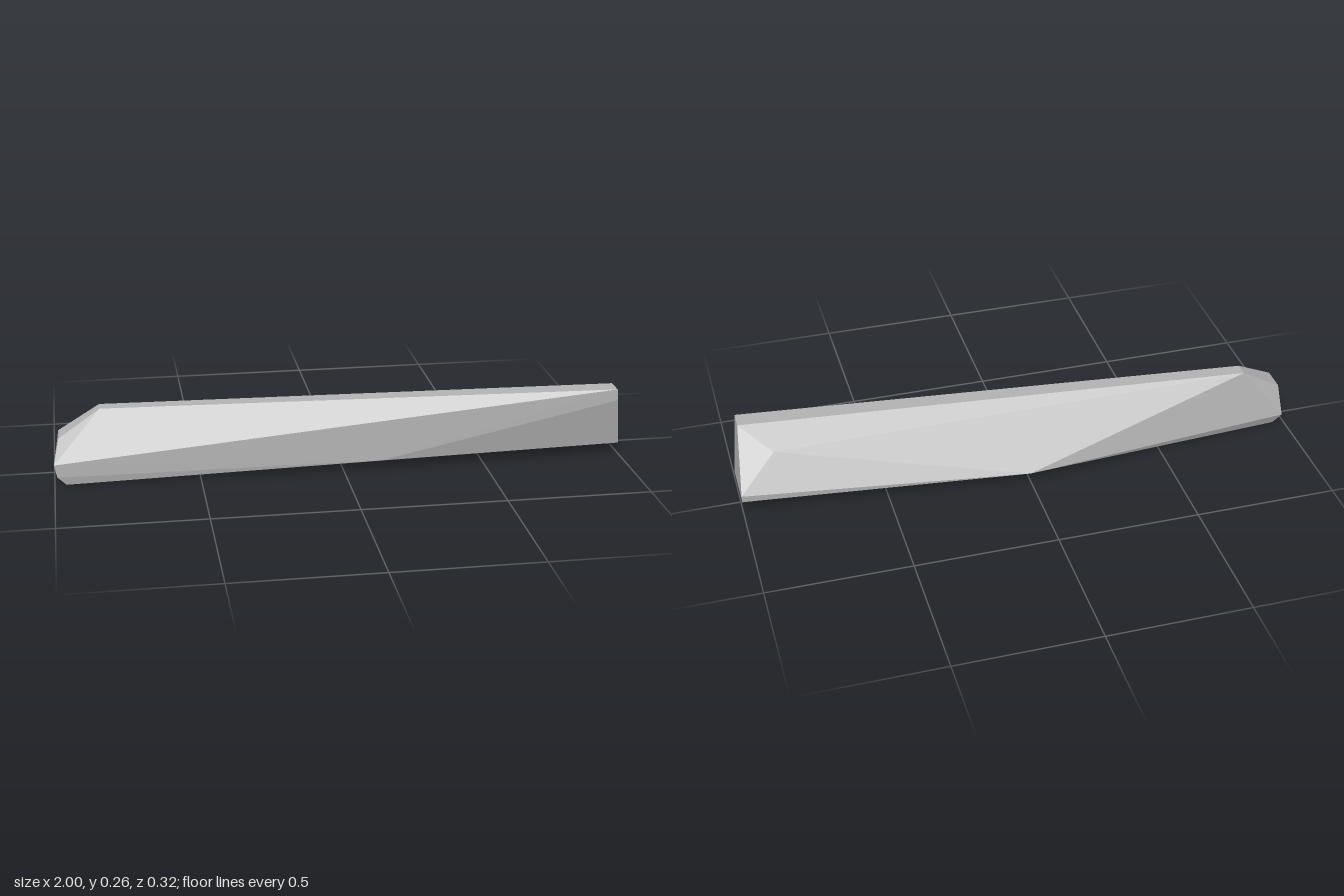
import * as THREE from 'three';
import { ConvexGeometry } from 'three/addons/geometries/ConvexGeometry.js';

export function createModel() {
  const group = new THREE.Group();
  group.name = 'stoneShard';

  const stone = new THREE.MeshStandardMaterial({ color: 0xb4b4b4 });
  stone.name = 'stone grey';

  // Corners of the faceted body, by region
  const blunt = [ // chamfered end, -x
    [-0.835, 0.23, -0.04], [-0.835, 0.23, 0.01],
    [-0.98, 0.145, -0.03], [-0.98, 0.145, 0.055],
    [-1, 0.075, 0.13], [-0.99, 0.03, 0.13], [-0.99, 0.035, -0.065],
    [-0.96, 0, 0.125], [-0.96, 0, -0.055],
  ];
  const middle = [ // back ridge, front ridge and belly
    [0, 0.035, -0.161], [0.13, 0.033, 0.15], [0.2, 0.008, -0.04],
  ];
  const cut = [ // slanted flat end, +x
    [0.975, 0.256, 0.095], [0.975, 0.255, 0.162], [0.979, 0.215, 0.162],
    [0.87, 0.185, 0.005],
    [1, 0.065, -0.057], [1, 0.04, -0.055], [1, 0.04, 0.125],
  ];

  // Flat facets wrapped around the corners
  const points = [...blunt, ...middle, ...cut].map((p) => new THREE.Vector3(...p));
  const body = new THREE.Mesh(new ConvexGeometry(points), stone);
  body.name = 'shardBody';
  group.add(body);
  return group;
}
